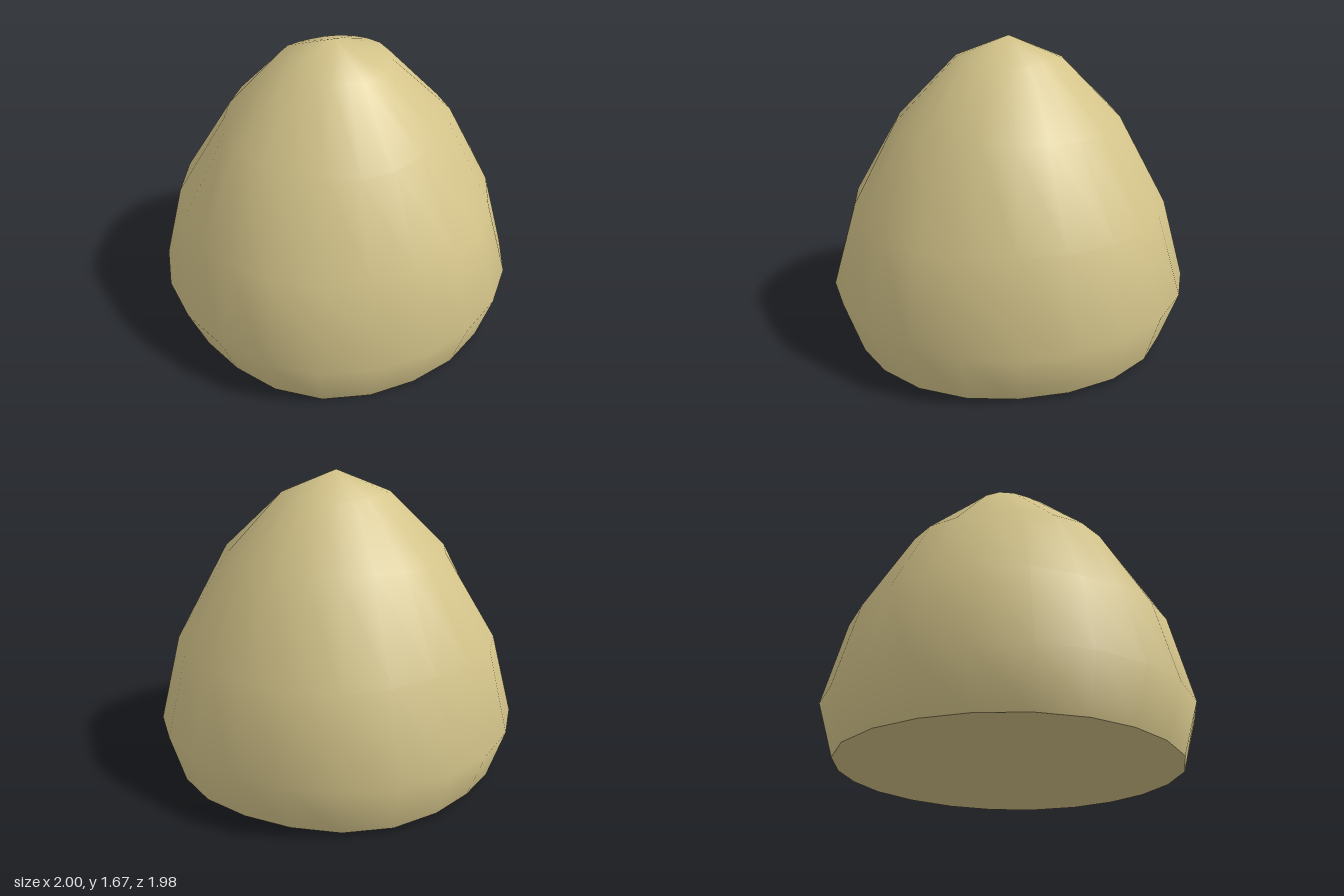
import * as THREE from 'three';
import { mergeVertices } from 'three/addons/utils/BufferGeometryUtils.js';

const SIDES = 22;

// Low-poly surface of revolution with a slight hand-made unevenness.
function unevenLathe(profile) {
  const points = profile.map(([r, y]) => new THREE.Vector2(r, y));
  let geometry = new THREE.LatheGeometry(points, SIDES, Math.PI / 2);
  const p = geometry.attributes.position;
  for (let i = 0; i < p.count; i++) {
    const x = p.getX(i), y = p.getY(i), z = p.getZ(i);
    const r = Math.hypot(x, z);
    if (r < 0.01) continue;
    const a = Math.atan2(z, x);
    // The widest ring stays round; the others ripple in and out.
    const ripple = 0.012 * Math.sin(5 * a + 7 * y) * Math.min(1, Math.abs(y - 0.3) * 4);
    const k = 1 + ripple / Math.max(r, 0.5);
    // The rim sags towards the front left.
    const sag = y < 0.1
      ? 0.024 * Math.max(0, Math.cos(a - 0.8)) - 0.005 * Math.sin(4 * a)
      : 0.01 * Math.sin(3 * a + 9 * y);
    p.setXYZ(i, x * k, Math.max(0, y - sag), z * k);
  }
  // Weld the seam so that the smooth normals run right round.
  geometry.deleteAttribute('uv');
  geometry.deleteAttribute('normal');
  geometry = mergeVertices(geometry, 1e-4);
  geometry.computeVertexNormals();
  return geometry;
}

export function createModel() {
  const group = new THREE.Group();
  group.name = 'haystack';
  const straw = new THREE.MeshStandardMaterial({ color: 0xd4c48a });

  // Domed heap, from the rim up to the peak
  const heap = new THREE.Mesh(unevenLathe([
    [0.91, 0.026], [1, 0.3], [0.875, 0.76], [0.61, 1.23], [0.29, 1.555], [0, 1.67],
  ]), straw);
  heap.name = 'heap';

  // Closed underside, sharing the uneven rim
  const underside = new THREE.Mesh(unevenLathe([[0, 0.03], [0.91, 0.026]]), straw);
  underside.name = 'underside';

  group.add(heap, underside);
  return group;
}
